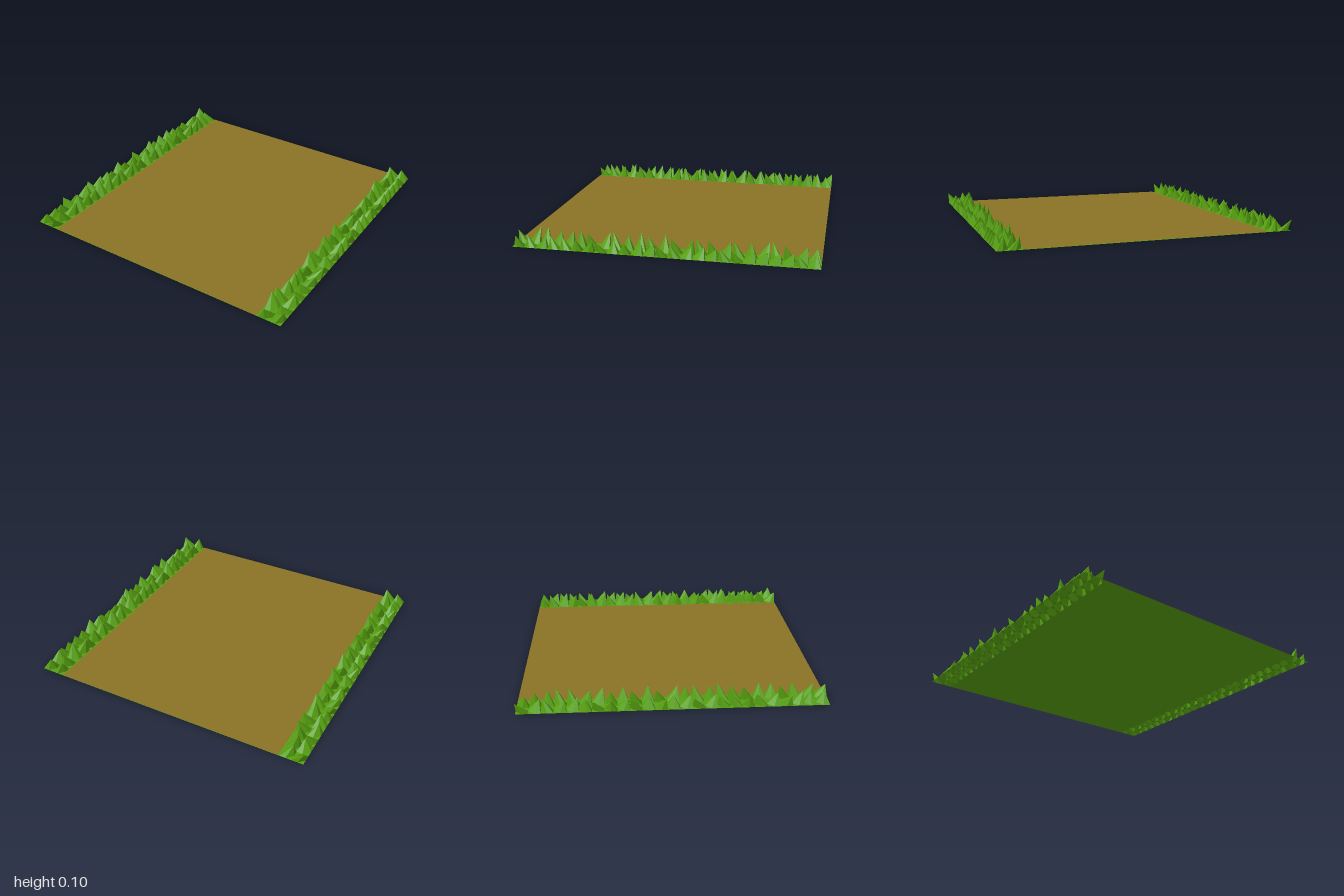
import * as THREE from 'three';

const TILE = 2;      // side of the square tile
const TUFT = 0.08;   // base width of one grass tuft
const STRIP = 0.16;  // width of one grass border (two tufts)

const grass = new THREE.MeshStandardMaterial({ color: 0x56a010, side: THREE.DoubleSide, flatShading: true });
grass.name = 'grass green';
const dirt = new THREE.MeshStandardMaterial({ color: 0x8a7326 });
dirt.name = 'dirt brown';

// Small seeded generator
function seeded(seed) {
  let s = seed;
  return () => (s = (s * 16807) % 2147483647) / 2147483647;
}

function flatPlane(width, depth, cols = 1, rows = 1) {
  return new THREE.PlaneGeometry(width, depth, cols, rows).rotateX(-Math.PI / 2);
}

// Border of grass: every second grid point is pulled up into a leaning spike
function grassBorder(side) {
  const cols = 4, rows = 50;
  const geo = flatPlane(STRIP, TILE, cols, rows);
  geo.translate(side * (TILE - STRIP) / 2, 0, 0);
  const pos = geo.attributes.position;
  const random = seeded(side > 0 ? 4711 : 977);
  const pick = (list) => list[Math.floor(random() * list.length)];
  // Tufts on the rim lean out to the edge or slightly in; the rest lean freely
  const lean = (rim, outward) => (rim ? outward * pick([0.04, 0.01, -0.013]) : pick([-0.03, 0, 0.03]));

  for (let r = 1; r < rows; r += 2) {
    for (let c = 1; c < cols; c += 2) {
      const i = r * (cols + 1) + c;
      const x = pos.getX(i), z = pos.getZ(i);
      const rimX = Math.abs(x) > 1 - TUFT, rimZ = Math.abs(z) > 1 - TUFT;
      const height = rimX || rimZ ? 0.08 : 0.105;
      pos.setXYZ(
        i,
        x + lean(rimX, Math.sign(x)),
        height * (0.88 + 0.12 * random()),
        z + lean(rimZ, Math.sign(z))
      );
    }
  }
  const faceted = geo.toNonIndexed();
  faceted.computeVertexNormals();
  return faceted;
}

export function createModel() {
  const model = new THREE.Group();
  model.name = 'dirtPathTile';

  const add = (name, geometry, material) => {
    const mesh = new THREE.Mesh(geometry, material);
    mesh.name = name;
    model.add(mesh);
    return mesh;
  };

  // Flat turf between the borders, visible from below and as a thin seam
  add('turfBase', flatPlane(TILE - 2 * STRIP, TILE), grass);

  // Dirt surface lying just above the turf
  add('dirtPath', flatPlane(1.66, TILE), dirt).position.y = 0.003;

  // Spiky grass along both sides
  add('grassBorderLeft', grassBorder(1), grass);
  add('grassBorderRight', grassBorder(-1), grass);

  return model;
}
